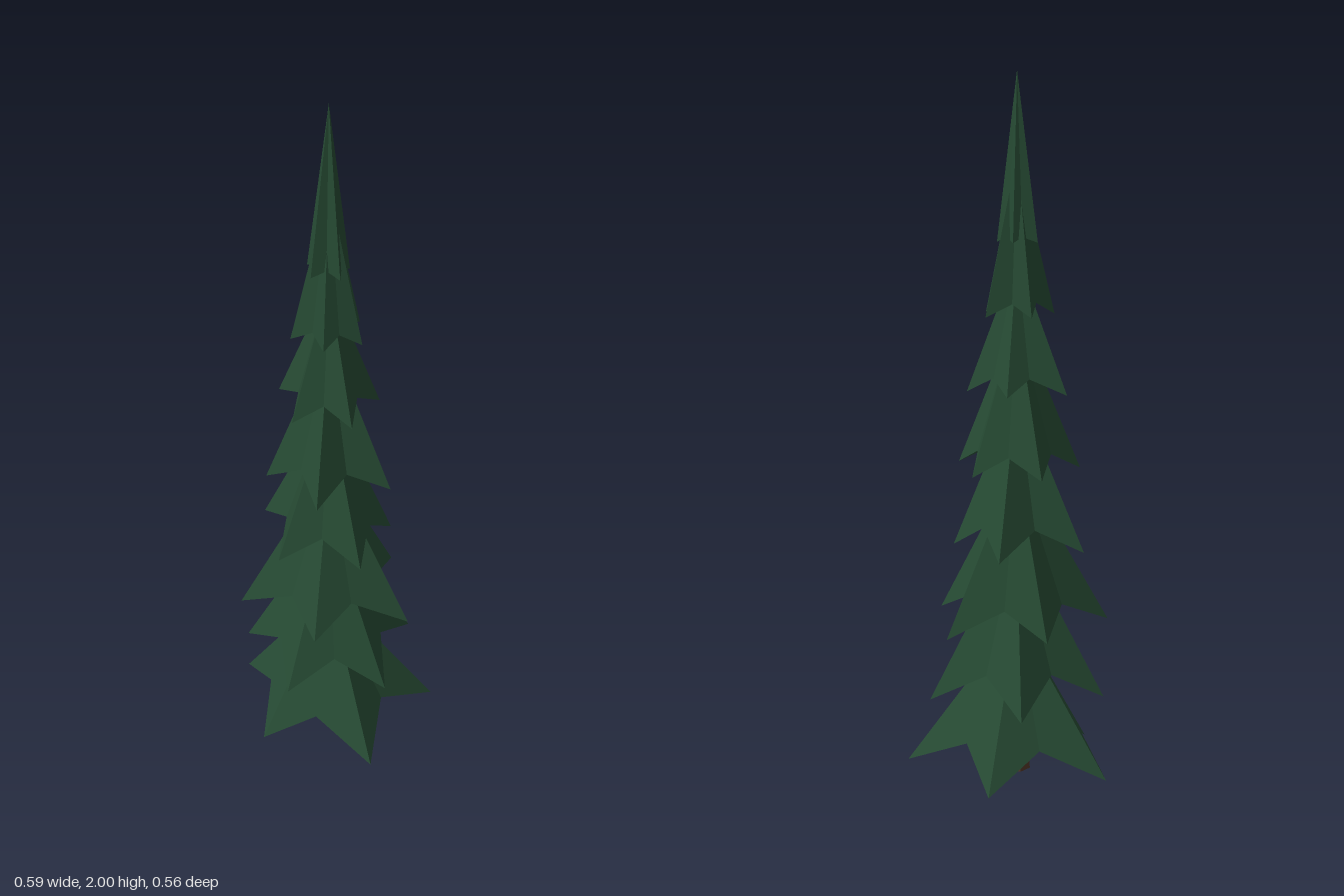
import * as THREE from 'three';

// Each tier: height of its peak, notches and branch tips, first tip angle (degrees), five tip radii
const TIERS = [
  { peak: 2.0, notch: 1.555, tip: 1.54, turn: 54, radii: [0.066, 0.066, 0.066, 0.05, 0.055] },
  { peak: 1.78, notch: 1.375, tip: 1.34, turn: 18, radii: [0.1, 0.085, 0.105, 0.1, 0.115] },
  { peak: 1.5, notch: 1.17, tip: 1.125, turn: 54, radii: [0.14, 0.14, 0.16, 0.125, 0.14] },
  { peak: 1.34, notch: 0.955, tip: 0.9, turn: 18, radii: [0.193, 0.195, 0.18, 0.17, 0.165] },
  { peak: 1.13, notch: 0.75, tip: 0.685, turn: 54, radii: [0.2, 0.2, 0.217, 0.225, 0.18] },
  { peak: 0.92, notch: 0.525, tip: 0.45, turn: 19, radii: [0.261, 0.223, 0.264, 0.218, 0.257] },
  { peak: 0.72, notch: 0.33, tip: 0.245, turn: 39, radii: [0.25, 0.239, 0.258, 0.274, 0.264] },
  { peak: 0.46, notch: 0.12, tip: 0.03, turn: 57, radii: [0.313, 0.265, 0.304, 0.295, 0.317] },
];

// Hollow five-pointed cone: ridges run to the tips, valleys to the notches
function tierGeometry({ peak, notch, tip, turn, radii }) {
  const rim = [];
  const mean = radii.reduce((a, b) => a + b) / radii.length;
  const addPoint = (r, y, degrees) => {
    const a = THREE.MathUtils.degToRad(degrees);
    rim.push([r * Math.cos(a), y, r * Math.sin(a)]);
  };
  radii.forEach((r, i) => {
    addPoint(r, tip, turn + i * 72);
    addPoint(mean * 0.61, notch, turn + i * 72 + 36);
  });
  const positions = [];
  rim.forEach((point, i) => {
    positions.push(0, peak, 0, ...rim[(i + 1) % rim.length], ...point);
  });
  const geometry = new THREE.BufferGeometry();
  geometry.setAttribute('position', new THREE.Float32BufferAttribute(positions, 3));
  geometry.computeVertexNormals();
  return geometry;
}

export function createModel() {
  const needles = new THREE.MeshStandardMaterial({
    name: 'needle green', color: 0x264a33, flatShading: true, side: THREE.DoubleSide,
  });
  const bark = new THREE.MeshStandardMaterial({ name: 'bark brown', color: 0x54382a, flatShading: true });

  const tree = new THREE.Group();
  tree.name = 'firTree';

  // Foliage tiers, top to bottom
  TIERS.forEach((tier, i) => {
    const mesh = new THREE.Mesh(tierGeometry(tier), needles);
    mesh.name = `foliageTier${i + 1}`;
    tree.add(mesh);
  });

  // Tapered trunk reaching up into the lowest tier
  const trunk = new THREE.Mesh(new THREE.CylinderGeometry(0.018, 0.04, 0.3, 6), bark);
  trunk.name = 'trunk';
  trunk.position.y = 0.15;
  trunk.rotation.y = Math.PI / 6;
  tree.add(trunk);

  // The trunk axis sits slightly off the centre of the uneven branches
  tree.children.forEach((part) => { part.position.x = -0.012; part.position.z = 0.015; });
  return tree;
}
